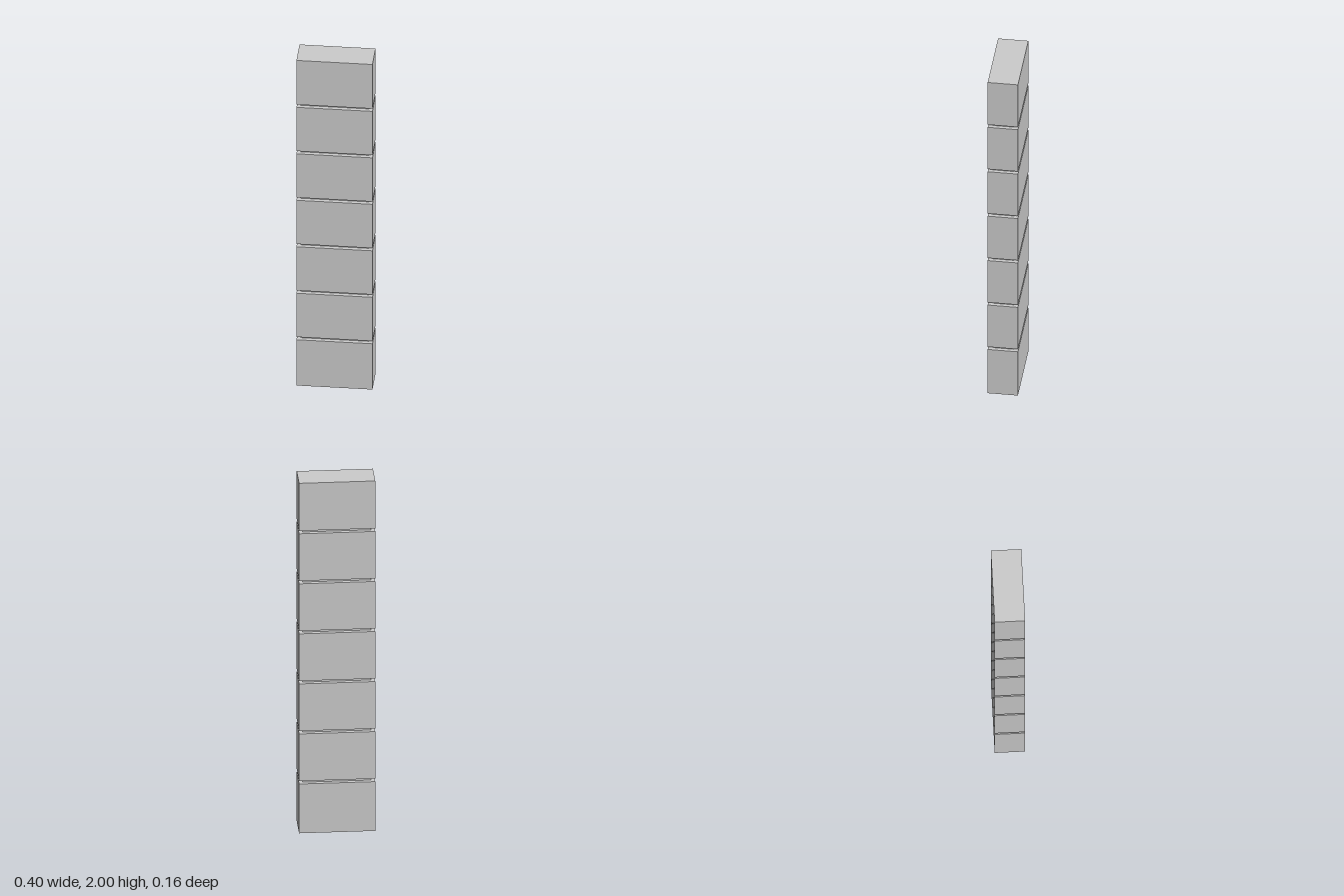
import * as THREE from 'three';

const COUNT = 7, WIDTH = 0.4, DEPTH = 0.16;
const JOINT = 0.017, PITCH = 0.286, FIRST_JOINT = 0.29; // joint thickness, spacing, lowest centre

export function createModel() {
  const group = new THREE.Group();
  const material = new THREE.MeshStandardMaterial({ color: 0xcccccc, flatShading: true });

  const addBox = (name, width, depth, bottom, top) => {
    const mesh = new THREE.Mesh(new THREE.BoxGeometry(width, top - bottom, depth), material);
    mesh.position.y = (bottom + top) / 2;
    mesh.name = name;
    group.add(mesh);
  };

  // Stacked blocks, with a recessed spacer in every joint
  let bottom = 0;
  for (let i = 0; i < COUNT; i++) {
    const last = i === COUNT - 1;
    const joint = FIRST_JOINT + i * PITCH;
    const top = last ? 2 : joint - JOINT / 2;
    addBox(`block${i + 1}`, WIDTH, DEPTH, bottom, top);
    if (last) break;
    bottom = joint + JOINT / 2;
    addBox(`spacer${i + 1}`, 0.36, 0.115, top, bottom);
  }
  return group;
}
